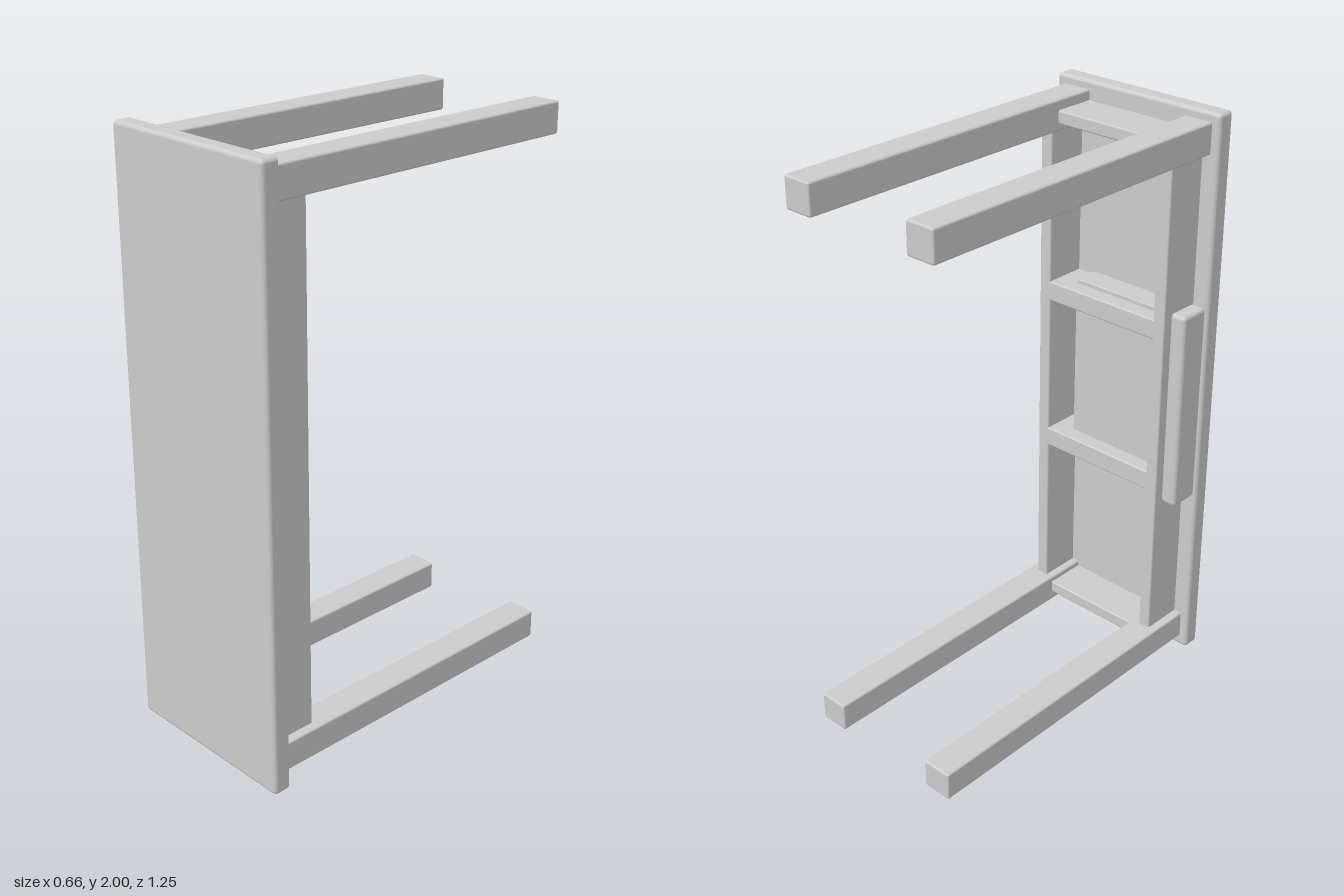
import * as THREE from 'three';
import { RoundedBoxGeometry } from 'three/addons/geometries/RoundedBoxGeometry.js';

const material = new THREE.MeshStandardMaterial({ color: 0xcccccc });

// Box given by its [min, max] on each axis, with softened edges
function board(name, [x0, x1], [y0, y1], [z0, z1], radius = 0.006) {
  const geometry = new RoundedBoxGeometry(x1 - x0, y1 - y0, z1 - z0, 2, radius);
  const mesh = new THREE.Mesh(geometry, material);
  mesh.name = name;
  mesh.position.set((x0 + x1) / 2, (y0 + y1) / 2, (z0 + z1) / 2);
  return mesh;
}

export function createModel() {
  const desk = new THREE.Group();
  desk.name = 'deskOnItsSide';

  // Tabletop, standing upright and facing forward
  desk.add(board('tabletop', [-0.33, 0.33], [0, 2], [0.56, 0.625], 0.014));

  // Four square legs pointing backward
  const legRows = [['lower', 0.04, 0.14], ['upper', 1.865, 1.97]];
  for (const [row, y0, y1] of legRows) {
    desk.add(board(row + 'RightLeg', [-0.3, -0.195], [y0, y1], [-0.625, 0.565], 0.007));
    desk.add(board(row + 'LeftLeg', [0.192, 0.297], [y0, y1], [-0.625, 0.565], 0.007));
  }

  // Long aprons and short end aprons under the top
  const depth = [0.41, 0.565];
  desk.add(board('rightApron', [-0.27, -0.225], [0.1, 1.9], depth));
  desk.add(board('leftApron', [0.22, 0.265], [0.1, 1.9], depth));
  desk.add(board('lowerEndApron', [-0.22, 0.22], [0.075, 0.12], depth));
  desk.add(board('upperEndApron', [-0.22, 0.22], [1.89, 1.935], depth));

  // Cross rails that carry the drawer
  for (const y of [0.735, 1.3]) {
    desk.add(board('crossRail', [-0.235, 0.235], [y - 0.035, y + 0.035], depth));
  }

  // Drawer: raised front, floor and two side walls
  const drawer = new THREE.Group();
  drawer.name = 'drawer';
  drawer.add(board('drawerFront', [-0.325, -0.265], [0.65, 1.36], [0.445, 0.558], 0.014));
  drawer.add(board('drawerFloor', [-0.235, 0.15], [0.68, 1.35], [0.465, 0.485], 0.004));
  for (const y of [0.68, 1.325]) {
    drawer.add(board('drawerSide', [-0.235, 0.15], [y, y + 0.025], [0.465, 0.555], 0.004));
  }
  drawer.add(board('drawerBack', [0.13, 0.15], [0.68, 1.35], [0.465, 0.555], 0.004));
  desk.add(drawer);

  return desk;
}
